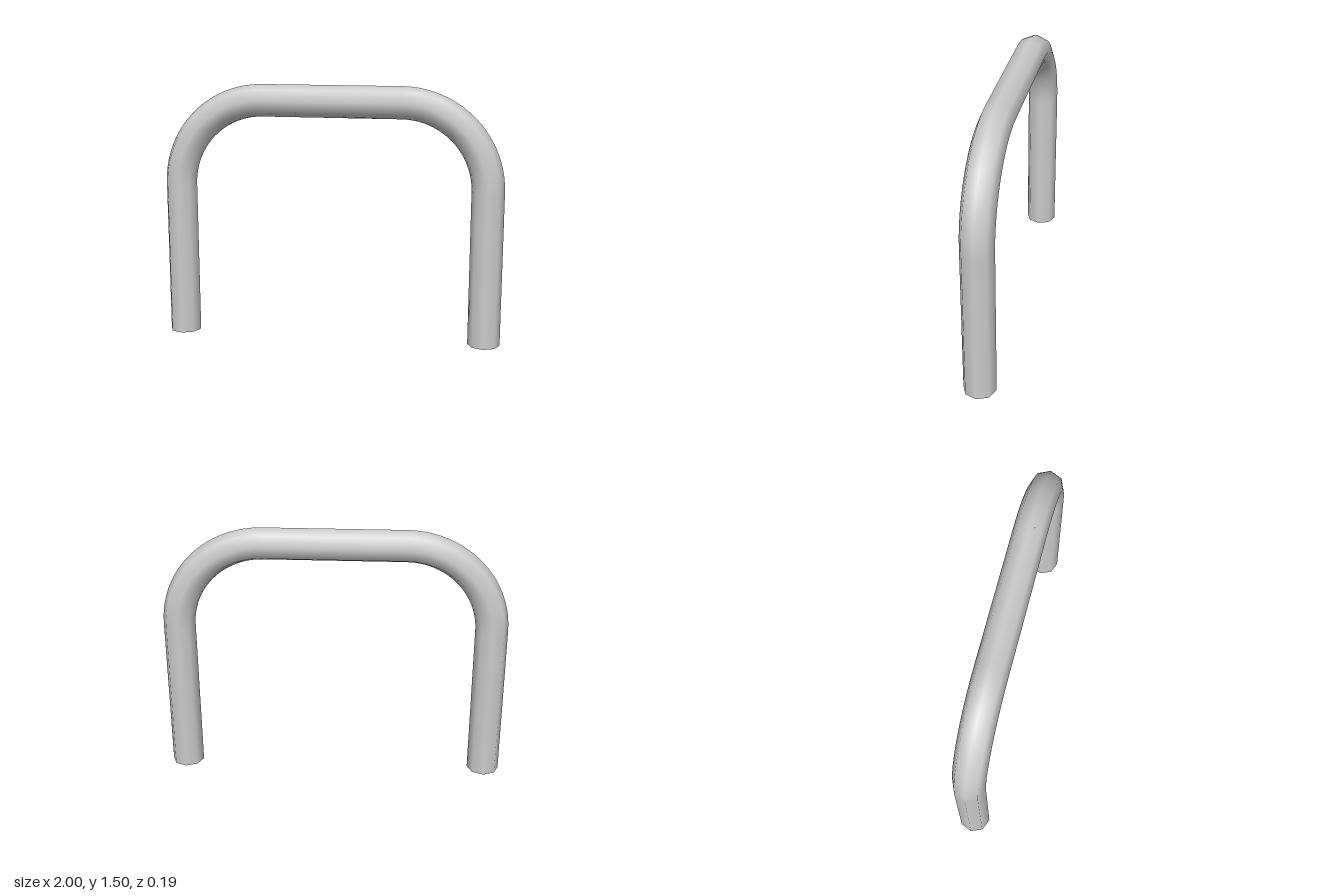
import * as THREE from 'three';

const R = 0.094;            // pipe radius
const X = 1 - R;            // leg centre line
const TOP = 1.41;           // crossbar centre line
const BEND = 0.5;           // bend radius at the centre line
const SIDES = 8;

// Quarter-circle centre line in the XY plane
class BendCurve extends THREE.Curve {
  constructor(cx, cy, from, to) {
    super();
    Object.assign(this, { cx, cy, from, to });
  }
  getPoint(t, target = new THREE.Vector3()) {
    const a = this.from + (this.to - this.from) * t;
    return target.set(this.cx + BEND * Math.cos(a), this.cy + BEND * Math.sin(a), 0);
  }
}

export function createModel() {
  const group = new THREE.Group();
  group.name = 'bentPipeHoop';
  const material = new THREE.MeshStandardMaterial({ color: 0xcccccc });

  const add = (name, geometry) => {
    const mesh = new THREE.Mesh(geometry, material);
    mesh.name = name;
    group.add(mesh);
    return mesh;
  };
  const pipe = (name, curve, segments) =>
    add(name, new THREE.TubeGeometry(curve, segments, R, SIDES, false));
  const straight = (name, x1, y1, x2, y2) =>
    pipe(name, new THREE.LineCurve3(new THREE.Vector3(x1, y1, 0), new THREE.Vector3(x2, y2, 0)), 1);

  // Legs, bends and foot caps, mirrored left and right
  for (const [side, s] of [['left', 1], ['right', -1]]) {
    straight(side + 'Leg', s * X, 0, s * X, TOP - BEND);
    const start = s > 0 ? 0 : Math.PI;
    pipe(side + 'Bend', new BendCurve(s * (X - BEND), TOP - BEND, start, Math.PI / 2), 20);
    const cap = add(side + 'FootCap', new THREE.CircleGeometry(R, SIDES));
    cap.rotation.x = Math.PI / 2;
    cap.position.x = s * X;
  }

  // Crossbar
  straight('crossbar', -(X - BEND), TOP, X - BEND, TOP);

  return group;
}
